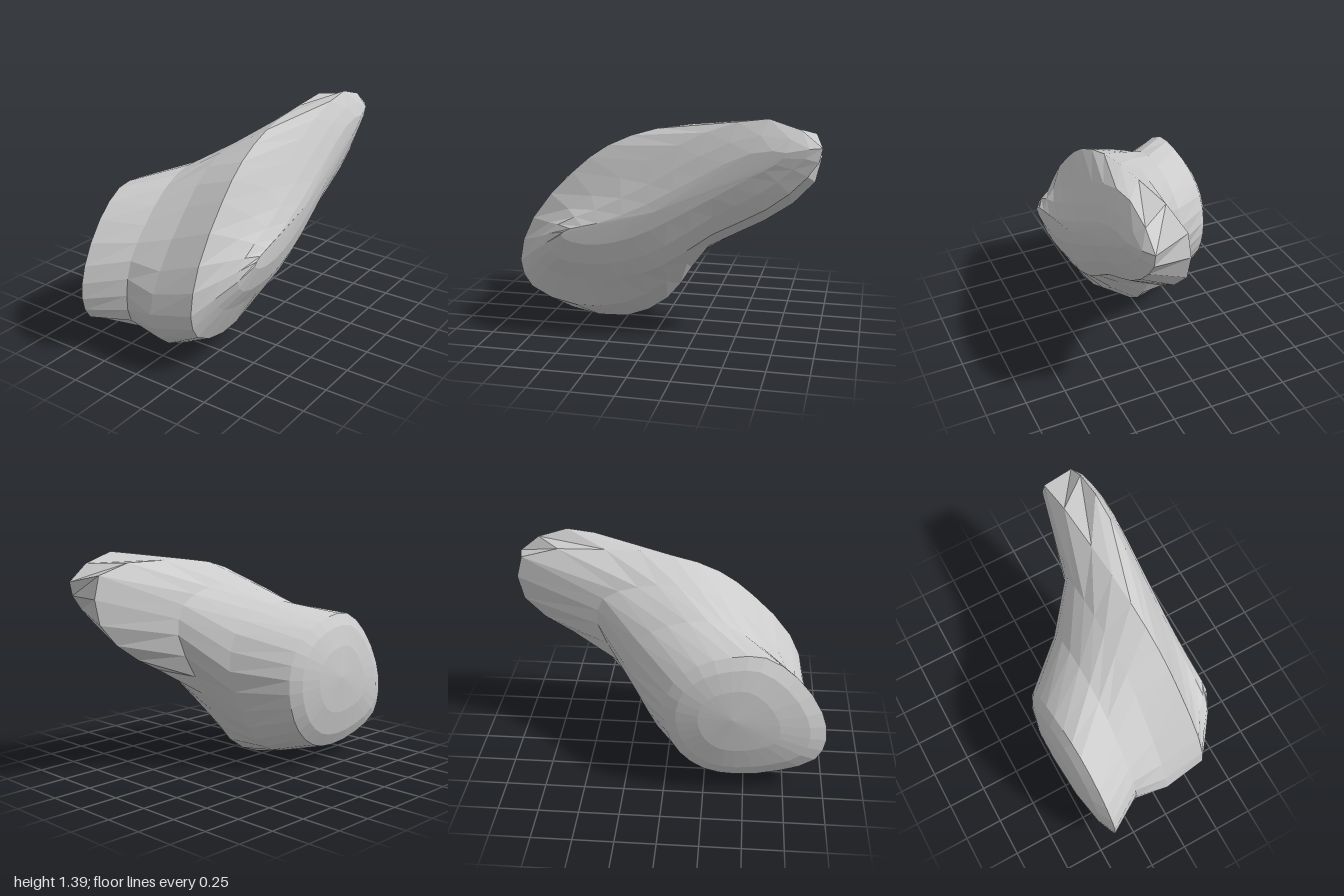
import * as THREE from 'three';

// A cross-section: closed curve through x,y pairs (left tip, underside, right tip, top),
// lying on the slightly slanted plane z = z0 + slope * x.
const SIDES = 28;
function section(z0, slope, xy) {
  const points = [];
  for (let i = 0; i < xy.length; i += 2) {
    points.push(new THREE.Vector3(xy[i], xy[i + 1], z0 + slope * xy[i]));
  }
  const curve = new THREE.CatmullRomCurve3(points, true, 'centripetal');
  return Array.from({ length: SIDES }, (_, i) => curve.getPoint(i / SIDES));
}

// A section shrunk about a centre and moved back, for the rounded rear
function shrink(loop, k, centre, z) {
  return loop.map((p) => new THREE.Vector3(
    centre.x + (p.x - centre.x) * k, centre.y + (p.y - centre.y) * k, z + (p.z + 0.44) * k));
}

// Joins sections from front to back and closes both ends
function loft(loops, frontTip, backTip) {
  const positions = [];
  const tri = (...corners) => corners.forEach((p) => positions.push(p.x, p.y, p.z));
  const first = loops[0];
  const last = loops[loops.length - 1];
  for (let i = 0; i < SIDES; i++) {
    const j = (i + 1) % SIDES;
    tri(frontTip, first[i], first[j]);
    for (let r = 0; r < loops.length - 1; r++) {
      const [a, b, c, d] = [loops[r][i], loops[r][j], loops[r + 1][j], loops[r + 1][i]];
      tri(a, c, b);
      tri(a, d, c);
    }
    tri(backTip, last[j], last[i]);
  }
  const geometry = new THREE.BufferGeometry();
  geometry.setAttribute('position', new THREE.Float32BufferAttribute(positions, 3));
  geometry.computeVertexNormals();
  return geometry;
}

export function createModel() {
  const group = new THREE.Group();
  group.name = 'rock';

  // Long slanted front slab, rounded towards a ridge
  const frontRidge = section(0.497, -0.045, [
    -0.53, 0.66, -0.47, 0.62, -0.3, 0.61, -0.1, 0.66, 0.12, 0.77, 0.38, 0.92, 0.6, 1.05,
    0.74, 1.13, 0.8, 1.2, 0.6, 1.19, 0.3, 1.04, 0, 0.87, -0.3, 0.74, -0.47, 0.7]);
  const frontFace = section(0.455, -0.03, [
    -0.64, 0.59, -0.57, 0.5, -0.38, 0.47, -0.15, 0.5, 0.1, 0.61, 0.38, 0.8, 0.65, 0.95,
    0.84, 1.1, 0.93, 1.22, 0.65, 1.29, 0.3, 1.16, 0, 0.98, -0.33, 0.81, -0.56, 0.71]);
  const frontRim = section(0.393, -0.01, [
    -0.75, 0.51, -0.67, 0.4, -0.45, 0.36, -0.2, 0.37, 0.07, 0.47, 0.37, 0.68, 0.69, 0.85,
    0.92, 1.05, 1.0, 1.22, 0.69, 1.38, 0.33, 1.29, 0, 1.11, -0.37, 0.88, -0.64, 0.7]);
  const slabRim = section(0.245, -0.08, [
    -0.87, 0.42, -0.8, 0.25, -0.52, 0.14, -0.2, 0.17, 0.06, 0.32, 0.32, 0.56, 0.65, 0.73,
    0.95, 0.98, 0.95, 1.27, 0.42, 1.32, 0, 1.28, -0.3, 1.17, -0.52, 1.0, -0.78, 0.7]);

  // Body behind the slab, grooved at the upper left and narrowing to a waist
  const body = section(0.04, 0, [
    -0.9, 0.36, -0.83, 0.17, -0.62, 0.03, -0.25, 0, 0.02, 0.14, 0.18, 0.36, 0.32, 0.6,
    0.46, 0.88, 0.42, 1.06, 0.2, 1.15, -0.05, 1.17, -0.32, 1.1, -0.54, 0.91, -0.8, 0.6]);
  const waist = section(-0.17, 0, [
    -0.86, 0.4, -0.83, 0.22, -0.65, 0.09, -0.36, 0.04, -0.16, 0.07, 0, 0.17, 0.13, 0.38,
    0.23, 0.65, 0.18, 0.88, 0, 1.0, -0.25, 1.04, -0.47, 0.96, -0.67, 0.79, -0.81, 0.61]);

  // Rounded rear lobe
  const rearRim = section(-0.455, -0.055, [
    -1.0, 0.37, -0.94, 0.22, -0.72, 0.13, -0.45, 0.1, -0.25, 0.14, -0.1, 0.26, -0.02, 0.42,
    0, 0.6, -0.06, 0.77, -0.2, 0.89, -0.4, 0.95, -0.6, 0.95, -0.8, 0.81, -0.96, 0.57]);
  const rearTip = new THREE.Vector3(-0.42, 0.57, -0.53);
  const rearOuter = shrink(rearRim, 0.82, rearTip, -0.484);
  const rearInner = shrink(rearRim, 0.5, rearTip, -0.515);

  const geometry = loft(
    [frontRidge, frontFace, frontRim, slabRim, body, waist, rearRim, rearOuter, rearInner],
    new THREE.Vector3(0.05, 0.83, 0.505), rearTip);
  const rock = new THREE.Mesh(geometry,
    new THREE.MeshStandardMaterial({ color: 0xcccccc, flatShading: true }));
  rock.name = 'boulder';
  group.add(rock);
  return group;
}
